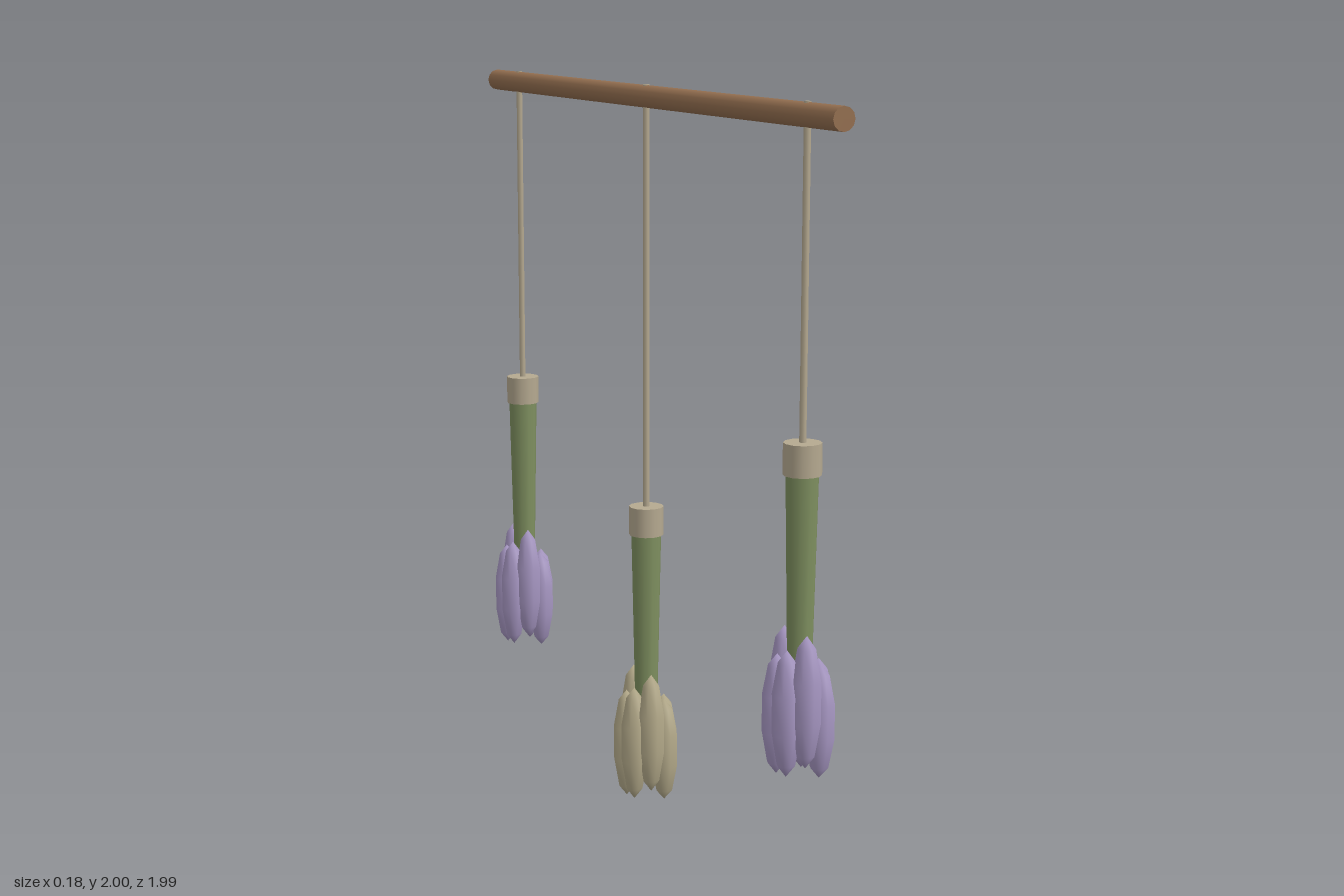
import * as THREE from 'three';

const mat = (name, color) => {
  const m = new THREE.MeshStandardMaterial({ color });
  m.name = name;
  return m;
};

export function createModel() {
  const wood = mat('wood brown', 0x946f50);
  const twine = mat('twine beige', 0xb5a990);
  const green = mat('stem green', 0x7f9060);
  const lavender = mat('lavender', 0xa898c4);
  const cream = mat('dried cream', 0xb5ab8b);

  const model = new THREE.Group();
  model.name = 'hangingFlowerRack';

  const add = (parent, name, geometry, material, y) => {
    const mesh = new THREE.Mesh(geometry, material);
    mesh.name = name;
    mesh.position.y = y;
    parent.add(mesh);
    return mesh;
  };

  // Horizontal wooden rod running front to back
  const rod = add(model, 'rod', new THREE.CylinderGeometry(0.03, 0.03, 1.985, 12), wood, 1.968);
  rod.rotation.x = Math.PI / 2;

  // Top and bottom of each of the seven buds, measured from the collar top
  const spans = [
    [-0.55, -0.84], [-0.55, -0.845], [-0.47, -0.81], [-0.51, -0.835],
    [-0.53, -0.84], [-0.47, -0.81], [-0.54, -0.845],
  ];
  const budGeometry = new THREE.SphereGeometry(1, 8, 5);

  // One upside-down bunch: string, collar, tapered stems and a ring of buds
  const addBunch = (z, top, budMaterial) => {
    const bunch = new THREE.Group();
    bunch.name = 'bunch';
    bunch.position.z = z;
    model.add(bunch);

    const length = 2 - (top - 0.04);
    add(bunch, 'string', new THREE.CylinderGeometry(0.009, 0.009, length, 8), twine, 2 - length / 2);
    add(bunch, 'collar', new THREE.CylinderGeometry(0.048, 0.048, 0.08, 12), twine, top - 0.04);
    add(bunch, 'stems', new THREE.CylinderGeometry(0.042, 0.03, 0.58, 10), green, top - 0.35);

    spans.forEach(([high, low], i) => {
      const a = (i / spans.length) * Math.PI * 2;
      const bud = add(bunch, 'bud', budGeometry, budMaterial, top + (high + low) / 2);
      bud.position.x = Math.cos(a) * 0.055;
      bud.position.z = Math.sin(a) * 0.055;
      bud.scale.set(0.04, (high - low) / 2, 0.04);
    });
  };

  addBunch(0.83, 1.185, lavender);
  addBunch(0, 0.85, cream);
  addBunch(-0.83, 1.08, lavender);

  return model;
}
